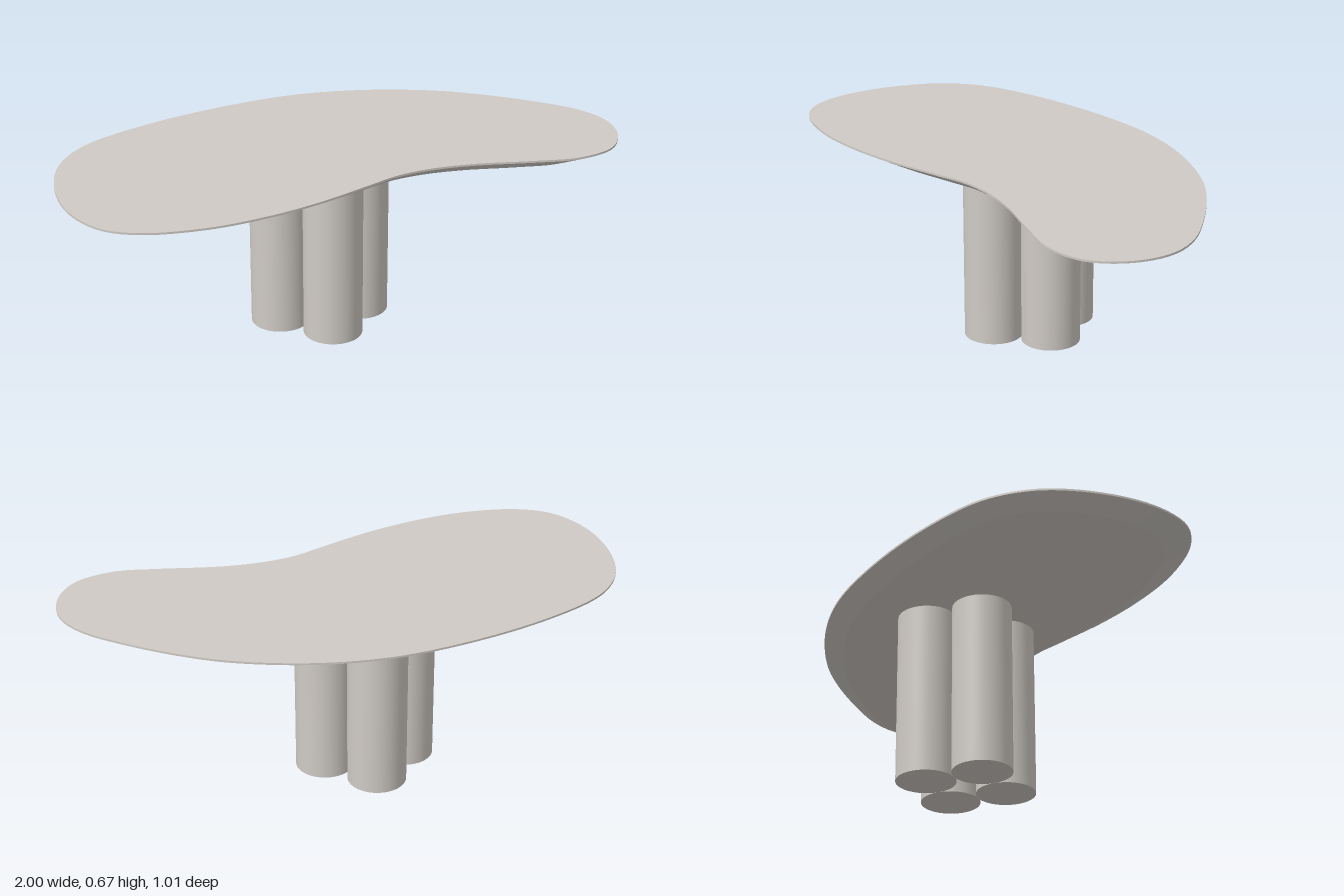
import * as THREE from 'three';

const stone = new THREE.MeshStandardMaterial({ color: 0xcfcac4 });
stone.name = 'warmGreyStone';

const HEIGHT = 0.667, LIP = 0.66, UNDERSIDE = 0.628;
const INSET_X = 0.92, INSET_Z = 0.85; // underside outline relative to the rim

// Kidney outline as [x, z], clockwise seen from above
const OUTLINE = [
  [0, -0.506], [0.25, -0.475], [0.5, -0.388], [0.65, -0.3], [0.82, -0.165], [0.93, -0.055],
  [0.985, 0.04], [1, 0.13], [0.975, 0.24], [0.9, 0.335], [0.76, 0.376], [0.6, 0.352],
  [0.4, 0.31], [0.25, 0.299], [0.12, 0.315], [0, 0.36], [-0.2, 0.435], [-0.4, 0.485],
  [-0.6, 0.504], [-0.8, 0.475], [-0.91, 0.41], [-0.97, 0.31], [-1, 0.17], [-0.985, -0.02],
  [-0.93, -0.165], [-0.82, -0.285], [-0.6, -0.39], [-0.3, -0.472],
];

function addMesh(parent, geometry, name) {
  const mesh = new THREE.Mesh(geometry, stone);
  mesh.name = name;
  parent.add(mesh);
  return mesh;
}

// Smooth band between two closed rings of equal length
function band(lower, upper) {
  const n = lower.length, index = [];
  for (let i = 0; i < n; i++) {
    const j = (i + 1) % n;
    index.push(i, n + i, j, j, n + i, n + j);
  }
  const geometry = new THREE.BufferGeometry().setFromPoints([...lower, ...upper]);
  geometry.setIndex(index);
  geometry.computeVertexNormals();
  return geometry;
}

// Flat face filling a ring, facing up (1) or down (-1)
function cap(ring, facing) {
  const shape = new THREE.Shape(ring.map(p => new THREE.Vector2(p.x, -facing * p.z)));
  return new THREE.ShapeGeometry(shape).rotateX(-facing * Math.PI / 2).translate(0, ring[0].y, 0);
}

export function createModel() {
  const table = new THREE.Group();
  table.name = 'table';

  // Tabletop: flat top, thin upright lip, undercut bevel and flat underside
  const top = new THREE.Group();
  top.name = 'tabletop';
  table.add(top);
  const curve = new THREE.CatmullRomCurve3(
    OUTLINE.map(([x, z]) => new THREE.Vector3(x, 0, z)), true, 'centripetal');
  const points = curve.getSpacedPoints(160).slice(0, -1);
  const ring = (y, sx, sz) => points.map(p => new THREE.Vector3(p.x * sx, y, p.z * sz));
  const upper = ring(HEIGHT, 1, 1);
  const rim = ring(LIP, 1, 1);
  const lower = ring(UNDERSIDE, INSET_X, INSET_Z);
  addMesh(top, cap(upper, 1), 'topFace');
  addMesh(top, band(rim, upper), 'lip');
  addMesh(top, band(lower, rim), 'bevel');
  addMesh(top, cap(lower, -1), 'underside');

  // Pedestal: four touching columns set in a diamond
  const pedestal = new THREE.Group();
  pedestal.name = 'pedestal';
  pedestal.position.set(-0.047, UNDERSIDE / 2, -0.035);
  table.add(pedestal);
  const radius = 0.1055;
  const column = new THREE.CylinderGeometry(radius, radius, UNDERSIDE, 64);
  ['leftColumn', 'frontColumn', 'rightColumn', 'backColumn'].forEach((name, i) => {
    const angle = i * Math.PI / 2, reach = radius * Math.SQRT2;
    addMesh(pedestal, column, name).position.set(reach * Math.cos(angle), 0, reach * Math.sin(angle));
  });

  return table;
}
